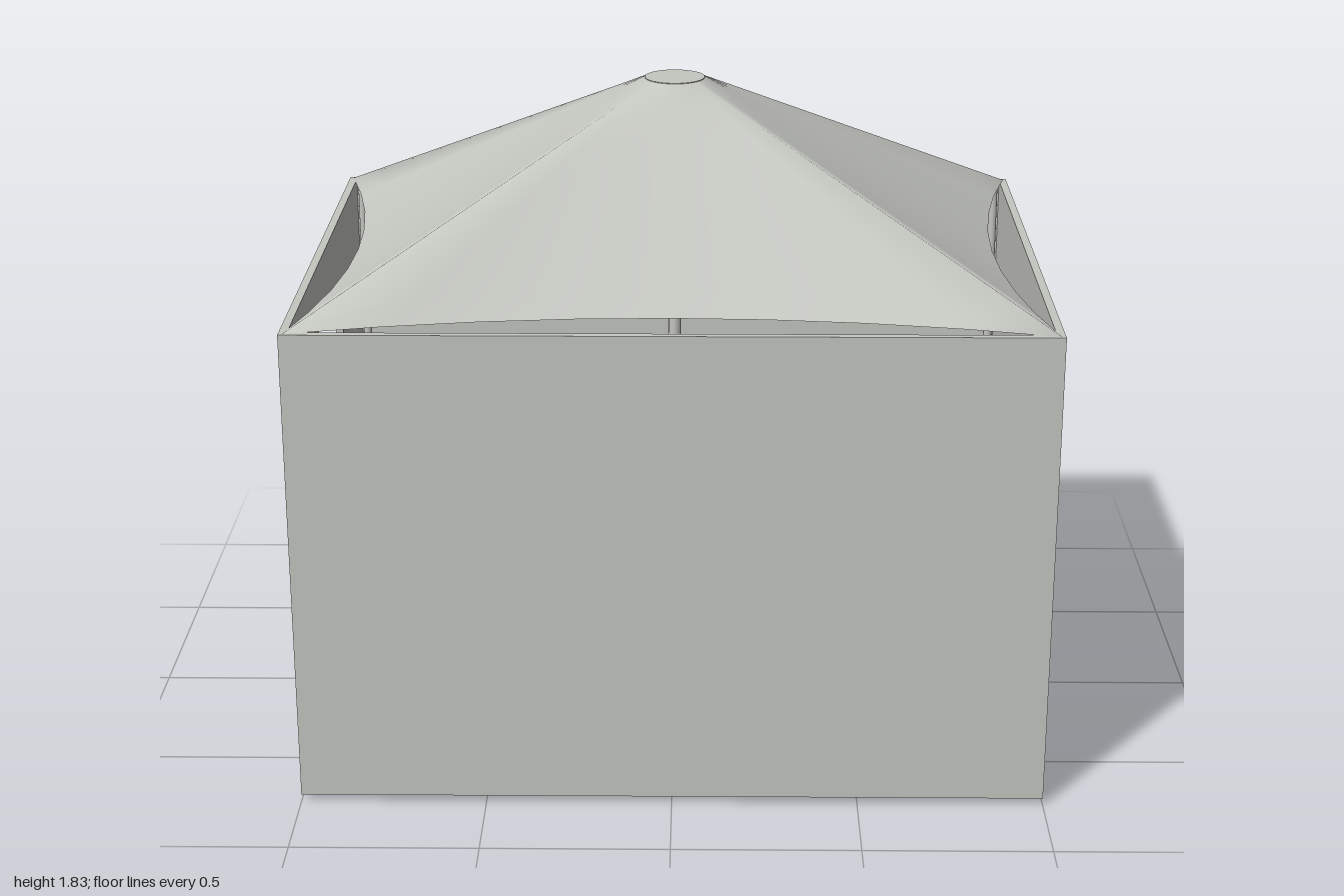
import * as THREE from 'three';

const grey = new THREE.MeshStandardMaterial({ color: 0xc4c6c0, side: THREE.DoubleSide });
grey.name = 'pale grey';
const tan = new THREE.MeshStandardMaterial({ color: 0xd9b08c, side: THREE.DoubleSide });
tan.name = 'tan';
const dark = new THREE.MeshStandardMaterial({ color: 0x3a3a3a });
dark.name = 'dark metal';

const W = 1, D = 0.75, Y0 = 0.02, Y1 = 1.33, T = 0.022;

function add(parent, name, geometry, material, x = 0, y = 0, z = 0) {
  const mesh = new THREE.Mesh(geometry, material);
  mesh.name = name;
  mesh.position.set(x, y, z);
  parent.add(mesh);
  return mesh;
}

// Smooth surface closed around i, open along j; point(i, j) gives [x, y, z]
function ringSurface(around, rows, point) {
  const pos = [], index = [];
  for (let j = 0; j <= rows; j++)
    for (let i = 0; i < around; i++) pos.push(...point(i, j / rows));
  for (let j = 0; j < rows; j++)
    for (let i = 0; i < around; i++) {
      const k = (i + 1) % around;
      const a = j * around + i, b = j * around + k;
      const c = a + around, d = b + around;
      index.push(a, c, b, b, c, d);
    }
  const g = new THREE.BufferGeometry();
  g.setAttribute('position', new THREE.Float32BufferAttribute(pos, 3));
  g.setIndex(index);
  g.computeVertexNormals();
  return g;
}

// Straight rod between two points
function rod(parent, name, a, b, r, material) {
  const from = new THREE.Vector3(...a), to = new THREE.Vector3(...b);
  const dir = to.clone().sub(from);
  const mesh = add(parent, name, new THREE.CylinderGeometry(r, r, dir.length(), 12), material);
  mesh.position.copy(from).add(to).multiplyScalar(0.5);
  mesh.quaternion.setFromUnitVectors(new THREE.Vector3(0, 1, 0), dir.normalize());
}

// Canopy: straight lines from four scalloped edges up to a small ring
function canopyGeometry() {
  const n = 8, cx = 0.99, cz = 0.742, ring = 0.082, top = 1.823;
  return ringSurface(4 * n, 10, (i, t) => {
    const side = Math.floor(i / n), s = ((i % n) / n) * 2 - 1;
    const sag = 1 - s * s;
    const [ex, ez] = [
      [s * cx, cz - 0.137 * sag],
      [cx - 0.105 * sag, -s * cz],
      [-s * cx, -cz + 0.137 * sag],
      [-cx + 0.105 * sag, s * cz],
    ][side];
    const angle = (side + s / 2) * Math.PI / 2;
    const rx = ring * Math.sin(angle), rz = ring * Math.cos(angle);
    return [rx + (ex - rx) * t, top + (Y1 - top) * t, rz + (ez - rz) * t];
  });
}

// Bucket chair, back toward +z
function makeChair() {
  const chair = new THREE.Group();
  chair.name = 'chair';
  const n = 36;
  const shell = ringSurface(n, 10, (i, t) => {
    const a = (i / n) * Math.PI * 2;
    const back = (1 + Math.cos(a)) / 2;
    const reach = 1 - (1 - t) ** 2;
    const rise = 0.025 + 0.24 * back ** 1.3;
    return [
      0.165 * Math.sin(a) * reach,
      0.2 + rise * t * t,
      (0.155 + 0.025 * back * t) * Math.cos(a) * reach,
    ];
  });
  add(chair, 'seatShell', shell, tan);
  for (const sx of [-1, 1]) {
    for (const sz of [-1, 1])
      rod(chair, 'chairLeg', [sx * 0.09, 0.215, sz * 0.08], [sx * 0.15, Y0, sz * 0.15], 0.006, dark);
    rod(chair, 'seatRail', [sx * 0.09, 0.2, -0.08], [sx * 0.09, 0.2, 0.08], 0.006, dark);
  }
  return chair;
}

export function createModel() {
  const model = new THREE.Group();
  model.name = 'canopyRoom';
  const h = Y1 - Y0, mid = (Y0 + Y1) / 2;

  // Walls, with a doorway in the -x side
  add(model, 'frontWall', new THREE.BoxGeometry(2 * W, h, T), grey, 0, mid, D - T / 2);
  add(model, 'backWall', new THREE.BoxGeometry(2 * W, h, T), grey, 0, mid, -D + T / 2);
  add(model, 'plainSideWall', new THREE.BoxGeometry(T, h, 2 * (D - T)), grey, W - T / 2, mid, 0);
  const e = D - T, doorA = -0.185, doorB = 0.292, doorTop = 1.15;
  const outline = new THREE.Shape([
    [-e, Y0], [doorA, Y0], [doorA, doorTop], [doorB, doorTop],
    [doorB, Y0], [e, Y0], [e, Y1], [-e, Y1],
  ].map(([x, y]) => new THREE.Vector2(x, y)));
  const doorWall = add(model, 'doorWall',
    new THREE.ExtrudeGeometry(outline, { depth: T, bevelEnabled: false }), grey, -W, 0, 0);
  doorWall.rotation.y = Math.PI / 2;

  // Canopy and its cap
  add(model, 'canopy', canopyGeometry(), grey);
  add(model, 'canopyCap', new THREE.CylinderGeometry(0.082, 0.082, 0.006, 32), grey, 0, 1.822, 0);

  // Central mast on a base plate, and corner posts
  add(model, 'mastBase', new THREE.CylinderGeometry(0.163, 0.163, 0.018, 40), grey, 0, 0.009, 0);
  rod(model, 'mast', [0, 0.01, 0], [0, 1.82, 0], 0.018, grey);
  for (const sx of [-1, 1])
    for (const sz of [-1, 1])
      rod(model, 'cornerPost', [sx * 0.96, Y0, sz * 0.71], [sx * 0.96, Y1, sz * 0.71], 0.012, grey);

  // Four chairs facing the mast
  for (let i = 0; i < 4; i++) {
    const chair = makeChair(), a = i * Math.PI / 2;
    chair.rotation.y = a;
    chair.position.set(0.41 * Math.sin(a), 0, 0.41 * Math.cos(a));
    model.add(chair);
  }
  return model;
}
